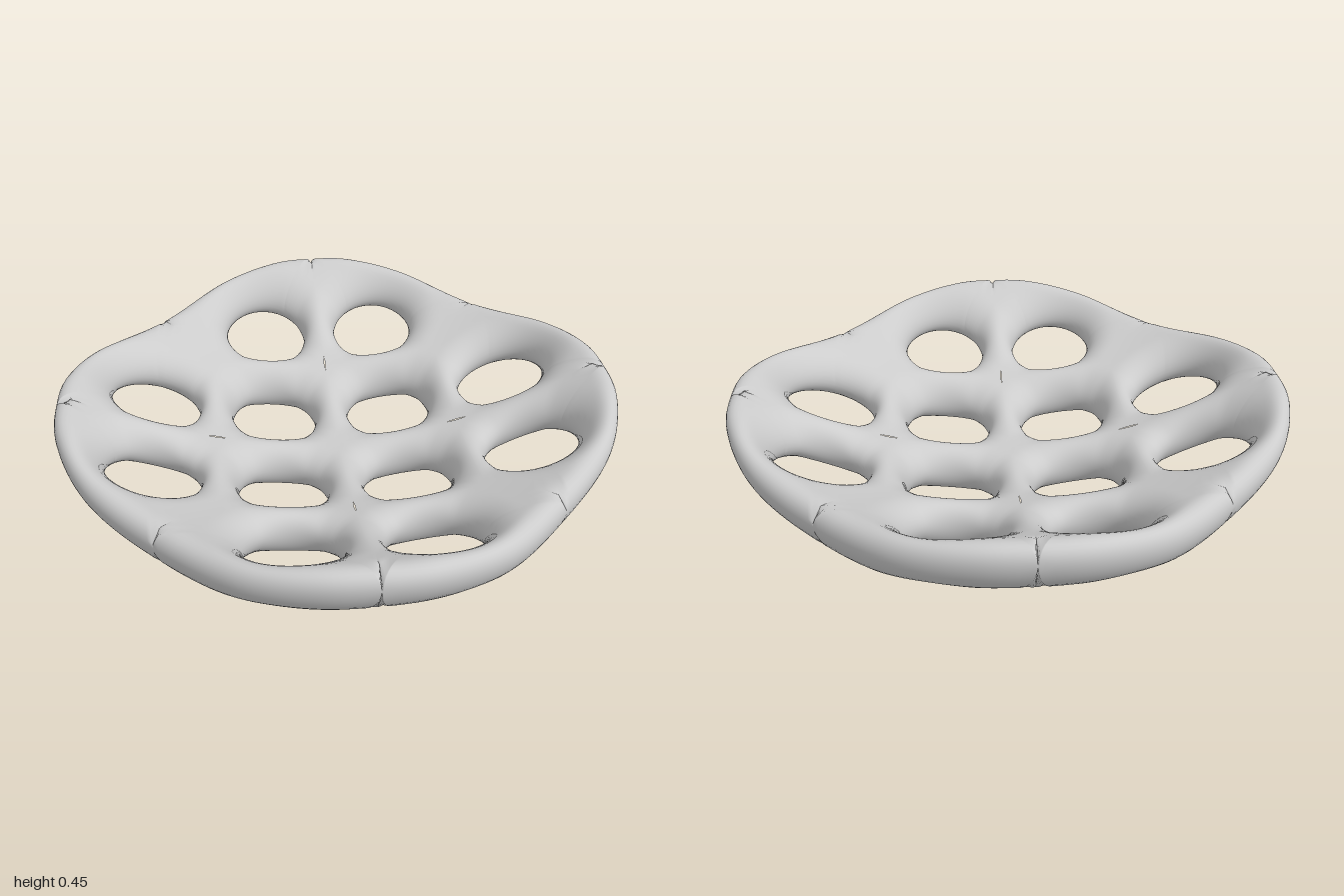
import * as THREE from 'three';
import { mergeVertices } from 'three/addons/utils/BufferGeometryUtils.js';

const HOLE = 0.16, HALF = 0.09, RAYS = 64, RINGS = 16;

// Outer edge: one quarter repeated four times
function makeOutline() {
  const quarter = [[1, 0], [0.985, 0.17], [0.89, 0.4], [0.655, 0.655], [0.4, 0.89], [0.17, 0.985]];
  const pts = [];
  for (let q = 0; q < 4; q++) {
    for (const [x, z] of quarter) {
      const p = new THREE.Vector2(x, z).rotateAround(new THREE.Vector2(), q * Math.PI / 2);
      pts.push(new THREE.Vector3(p.x, 0, p.y));
    }
  }
  return new THREE.CatmullRomCurve3(pts, true).getPoints(240).map((p) => new THREE.Vector2(p.x, p.z));
}

// Distance along a ray to the outline
function rayToOutline(outline, c, dir) {
  let best = Infinity;
  for (let i = 0; i < outline.length - 1; i++) {
    const a = outline[i], e = outline[i + 1].clone().sub(a), w = a.clone().sub(c);
    const den = dir.cross(e);
    if (Math.abs(den) < 1e-12) continue;
    const t = w.cross(e) / den, u = w.cross(dir) / den;
    if (t > 0 && u >= -1e-6 && u <= 1 + 1e-6) best = Math.min(best, t);
  }
  return best;
}

function distToOutline(outline, p) {
  let best = Infinity;
  for (let i = 0; i < outline.length - 1; i++) {
    const a = outline[i], ex = outline[i + 1].x - a.x, ez = outline[i + 1].y - a.y;
    const px = p.x - a.x, pz = p.y - a.y;
    const u = THREE.MathUtils.clamp((px * ex + pz * ez) / (ex * ex + ez * ez), 0, 1);
    best = Math.min(best, Math.hypot(px - u * ex, pz - u * ez));
  }
  return best < 1e-4 ? 0 : best;
}

// Rounded edge profile and the dished middle surface
const round = (d, w) => Math.sqrt(1 - (1 - Math.min(d / w, 1)) ** 2);
const dish = (x, z) => 0.093 + 0.31 * (x * x + z * z) - 0.2 * x * x * z * z;

function dishGeometry() {
  const outline = makeOutline();
  const steps = [-0.67, -0.225, 0.225, 0.67];
  const holes = [];
  for (const x of steps) for (const z of steps) {
    if (Math.abs(x) + Math.abs(z) < 1.2) holes.push(new THREE.Vector2(x, z));
  }
  // Outline points where neighbouring cells meet
  const corners = outline.filter((p, i) => i % 30 === 0 && i < 240);
  const pos = [], idx = [];

  // Each hole is surrounded by rings growing out to its cell border
  for (const c of holes) {
    const angles = Array.from({ length: RAYS }, (_, i) => i * 2 * Math.PI / RAYS);
    for (const p of corners) {
      if (p.distanceTo(c) < 0.5) angles.push(p.clone().sub(c).angle());
    }
    angles.sort((a, b) => a - b);
    const base = pos.length / 3, row = (RINGS + 1) * 2;

    for (const a of angles) {
      const dir = new THREE.Vector2(Math.cos(a), Math.sin(a));
      let reach = rayToOutline(outline, c, dir);
      for (const o of holes) {
        const v = o.clone().sub(c), k = v.dot(dir);
        if (k > 1e-6) reach = Math.min(reach, v.lengthSq() / (2 * k));
      }
      for (let j = 0; j <= RINGS; j++) {
        const d = (reach - HOLE) * (1 - Math.cos(Math.PI * j / RINGS)) / 2;
        const p = c.clone().addScaledVector(dir, HOLE + d);
        const half = HALF * round(d, Math.min(reach - HOLE, 0.11)) * round(distToOutline(outline, p), 0.08);
        const y = dish(p.x, p.y);
        pos.push(p.x, y + half, p.y, p.x, y - half, p.y);
      }
    }
    for (let i = 0; i < angles.length; i++) {
      const r0 = base + i * row, r1 = base + ((i + 1) % angles.length) * row;
      for (let j = 0; j < RINGS; j++) {
        const a = r0 + 2 * j, b = r1 + 2 * j, d = a + 2, e = b + 2;
        idx.push(a, b, d, b, e, d); // top
        idx.push(a + 1, d + 1, b + 1, b + 1, d + 1, e + 1); // bottom
      }
    }
  }
  const g = new THREE.BufferGeometry();
  g.setAttribute('position', new THREE.Float32BufferAttribute(pos, 3));
  g.setIndex(idx);
  const merged = mergeVertices(g, 1e-4);
  merged.computeVertexNormals();
  return merged;
}

export function createModel() {
  const grey = new THREE.MeshStandardMaterial({ color: 0xcccccc });
  grey.name = 'light grey';
  const bowl = new THREE.Mesh(dishGeometry(), grey);
  bowl.name = 'perforatedDish';
  const group = new THREE.Group();
  group.name = 'dish';
  group.add(bowl);
  return group;
}
